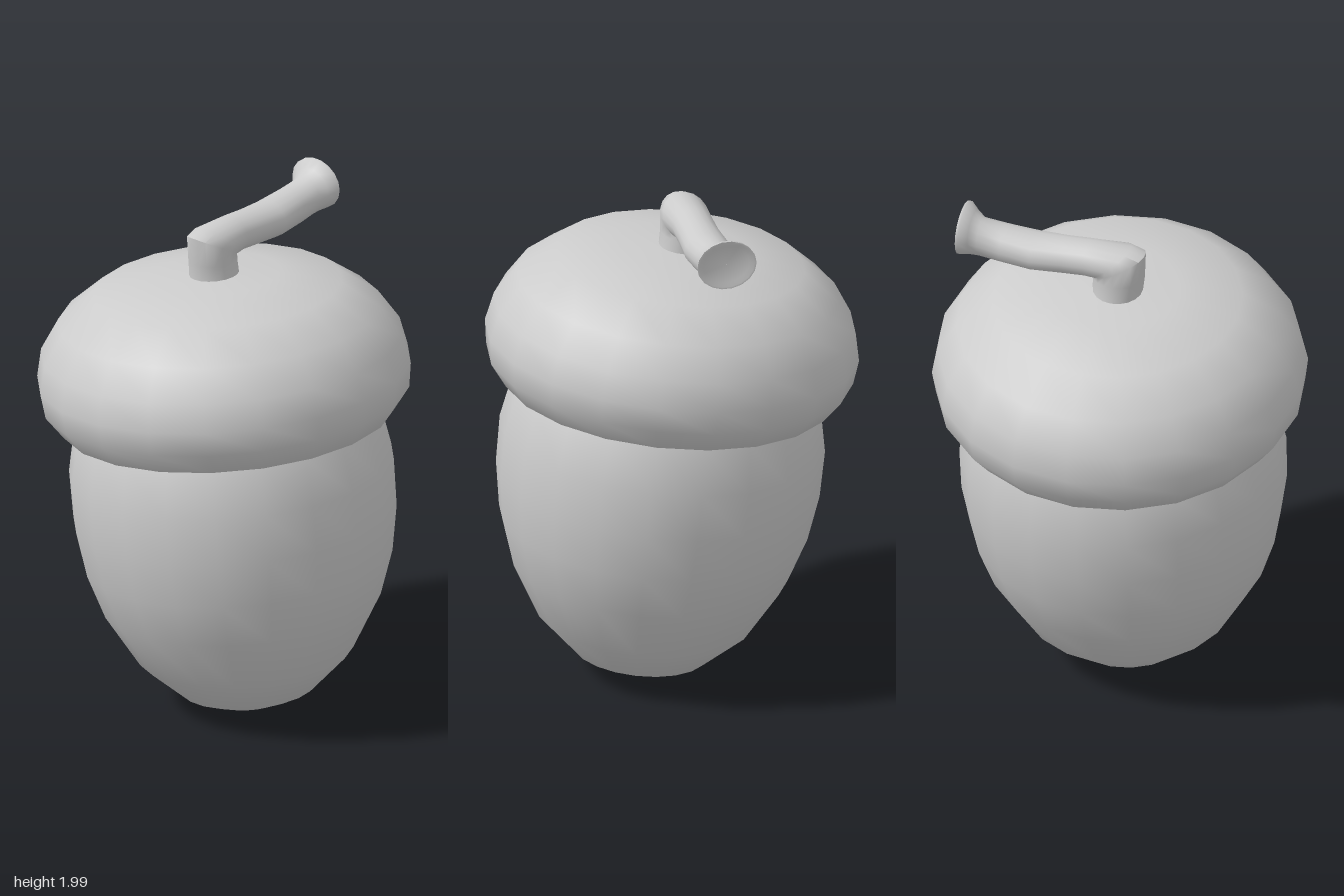
import * as THREE from 'three';
import { toCreasedNormals } from 'three/addons/utils/BufferGeometryUtils.js';

const material = new THREE.MeshStandardMaterial({ color: 0xcccccc, side: THREE.DoubleSide });

// Round body with 20 sides, profile given from bottom to top as [radius, y]
function turned(name, profile) {
  const points = profile.map(([r, y]) => new THREE.Vector2(r, y));
  const mesh = new THREE.Mesh(new THREE.LatheGeometry(points, 20), material);
  mesh.name = name;
  return mesh;
}

// Loft through elliptical rings: [x, y, z, half width, half depth, lean in degrees]
// lean 0 is a level ring, lean 90 is an upright ring facing backwards
function loft(rings, sides) {
  const positions = [], index = [];
  rings.forEach(([x, y, z, rx, rd, lean], i) => {
    const a = THREE.MathUtils.degToRad(lean);
    for (let j = 0; j < sides; j++) {
      const t = (j / sides) * Math.PI * 2;
      const d = rd * Math.sin(t);
      positions.push(x + rx * Math.cos(t), y + d * Math.sin(a), z + d * Math.cos(a));
      if (i === rings.length - 1) continue;
      const p = i * sides + j, q = i * sides + (j + 1) % sides;
      index.push(p, p + sides, q, q, p + sides, q + sides);
    }
  });
  const geometry = new THREE.BufferGeometry();
  geometry.setAttribute('position', new THREE.Float32BufferAttribute(positions, 3));
  geometry.setIndex(index);
  return toCreasedNormals(geometry, 1.1);
}

export function createModel() {
  const model = new THREE.Group();
  model.name = 'acorn';

  // Nut and cap share one axis that leans sideways
  const body = new THREE.Group();
  body.name = 'body';
  body.position.x = 0.13;
  body.rotation.z = 0.098;
  model.add(body);

  body.add(turned('nut', [
    [0, 0.012], [0.13, 0.02], [0.255, 0.07], [0.41, 0.215], [0.53, 0.425],
    [0.588, 0.6], [0.617, 0.78], [0.62, 0.965], [0.585, 1.15], [0.5, 1.3],
  ]));

  // Cap with its rim turned in against the nut
  body.add(turned('cap', [
    [0.55, 1.2], [0.585, 1.15], [0.635, 1.165], [0.7, 1.255], [0.713, 1.35],
    [0.69, 1.46], [0.615, 1.578], [0.475, 1.685], [0.242, 1.735], [0, 1.742],
  ]));

  // Stem: short upright, sharp elbow, run to the back, flared end with a shallow dish
  const stem = new THREE.Mesh(loft([
    [-0.045, 1.66, 0.005, 0.105, 0.1, 0],
    [-0.047, 1.73, 0.005, 0.094, 0.096, 0],
    [-0.05, 1.79, 0.01, 0.088, 0.1, 3],
    [-0.052, 1.848, 0.012, 0.09, 0.117, 29],
    [-0.053, 1.857, -0.02, 0.09, 0.104, 42],
    [-0.056, 1.857, -0.11, 0.08, 0.07, 88],
    [-0.056, 1.852, -0.2, 0.08, 0.07, 90],
    [-0.057, 1.848, -0.32, 0.088, 0.071, 90],
    [-0.058, 1.859, -0.44, 0.08, 0.073, 90],
    [-0.06, 1.871, -0.53, 0.073, 0.075, 90],
    [-0.062, 1.886, -0.56, 0.09, 0.084, 90],
    [-0.065, 1.902, -0.59, 0.115, 0.098, 90],
    [-0.065, 1.902, -0.6, 0.116, 0.098, 90],
    [-0.065, 1.902, -0.6, 0.108, 0.091, 90],
    [-0.065, 1.902, -0.592, 0.09, 0.075, 90],
    [-0.065, 1.902, -0.59, 0.001, 0.001, 90],
  ], 18), material);
  stem.name = 'stem';
  model.add(stem);

  return model;
}
